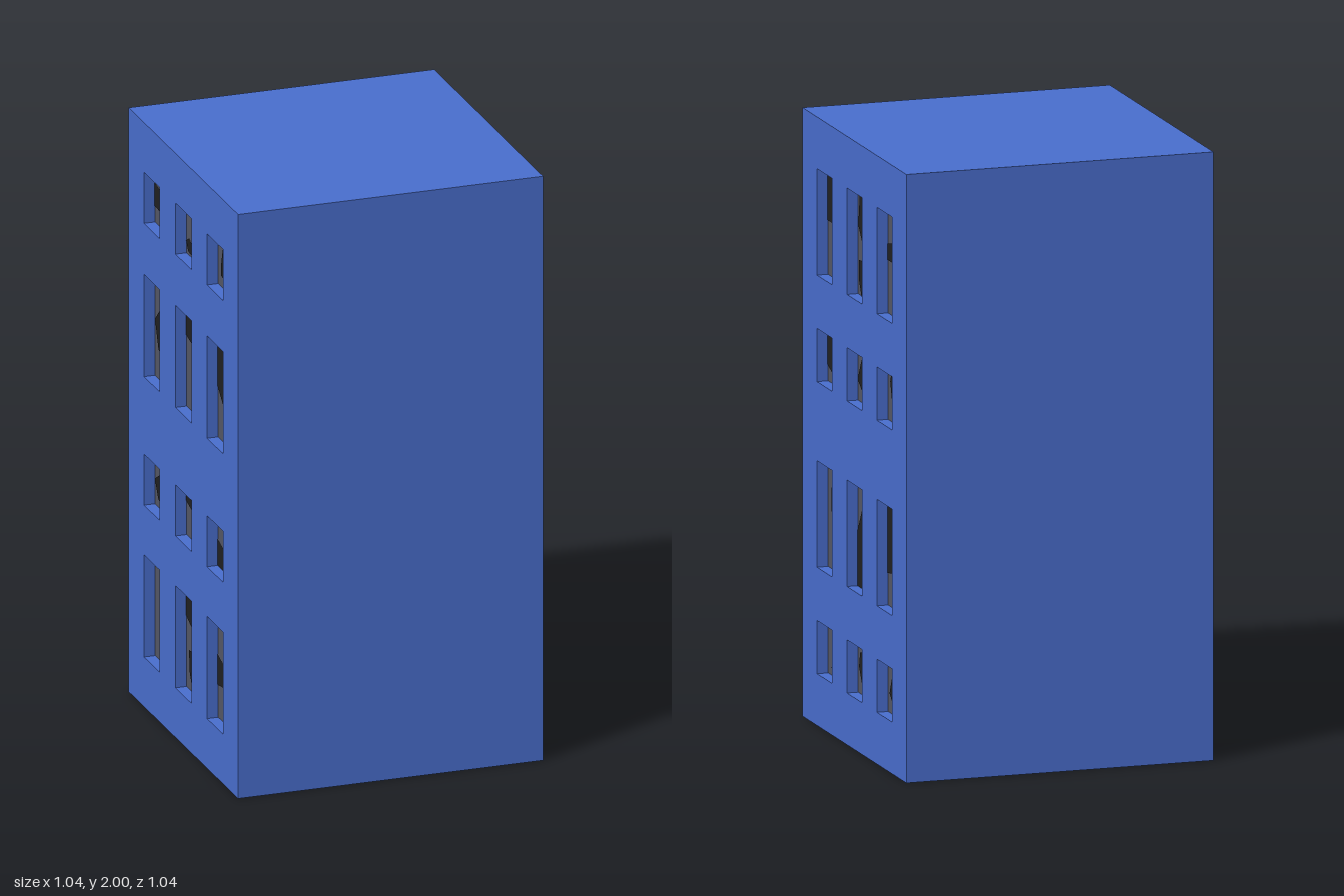
import * as THREE from 'three';

const HALF = 0.52, HEIGHT = 2, DEPTH = 0.04, WIN_W = 0.15;
const COLUMNS = [-0.3, 0, 0.3];

// Broken glass outlines in a unit window seen from outside.
// A band spans the full width; its lower and upper edges bend at the middle.
const band = (lo, hi, loMid = lo, hiMid = hi) =>
  [[0, lo], [0.5, loMid], [1, lo], [1, hi], [0.5, hiMid], [0, hi]];

// A shard is an irregular polygon around u, v with radii ru, rv
const shard = (u, v, ru, rv, sides) => Array.from({ length: sides }, (_, i) => {
  const angle = (i + 0.3) / sides * Math.PI * 2;
  const r = i % 2 ? 0.8 : 1.1;
  return [u + ru * r * Math.cos(angle), v + rv * r * Math.sin(angle)];
});

// Each row: sill height, window height, and the holes of its three windows
const RIGHT_ROWS = [
  { y: 1.48, h: 0.35, holes: [
    [band(0.51, 1)],
    [[[0.05, 0.65], [0.58, 0.36], [1, 0.49], [1, 1], [0.15, 0.95]], shard(0.38, 0.18, 0.36, 0.2, 6)],
    [band(0.5, 0.65, 0.5, 0.7)]] },
  { y: 1.13, h: 0.175, holes: [
    [band(0.31, 1, 0.14)],
    [shard(0.48, 0.5, 0.44, 0.4, 8)],
    [[[0.3, 1], [0.18, 0.75], [0.4, 0.1], [1, 0.27], [1, 1]]]] },
  { y: 0.52, h: 0.35, holes: [
    [shard(0.52, 0.58, 0.32, 0.25, 6)],
    [band(0, 0.52, 0, 0.88)],
    [[[0, 1], [0, 0.3], [1, 0.38], [1, 1]]]] },
  { y: 0.17, h: 0.175, holes: [
    [[[0.28, 0.65], [0.45, 0.37], [0.25, 0.13], [0.85, 0.5], [0.92, 0.95]]],
    [[[0.17, 0.78], [0.1, 0.5], [0.35, 0.13], [1, 0.2], [1, 0.9]]],
    [shard(0.52, 0.47, 0.36, 0.4, 8)]] },
];

const LEFT_ROWS = [
  { y: 1.655, h: 0.175, holes: [
    [band(0.32, 0.78, 0.3, 0.7)], [shard(0.2, 0.2, 0.18, 0.18, 5)], [shard(0.5, 0.45, 0.34, 0.32, 7)]] },
  { y: 1.13, h: 0.35, holes: [
    [shard(0.4, 0.48, 0.35, 0.28, 5)], [band(0.7, 1, 0.65)], [band(0.5, 1, 0.3)]] },
  { y: 0.69, h: 0.175, holes: [
    [shard(0.4, 0.4, 0.36, 0.36, 5)], [band(0.67, 1, 0.55)], [band(0, 0.52, 0, 0.4)]] },
  { y: 0.17, h: 0.35, holes: [
    [shard(0.62, 0.45, 0.3, 0.4, 5)],
    [band(0.7, 1, 0.6), shard(0.48, 0.24, 0.35, 0.2, 6)],
    [band(0.32, 0.62, 0.35, 0.55)]] },
];

const wallMat = new THREE.MeshStandardMaterial({ color: 0x4a6fd0 });
const glassMat = new THREE.MeshStandardMaterial({ color: 0x565866 });
const darkMat = new THREE.MeshStandardMaterial({ color: 0x222222 });

function addMesh(parent, name, geometry, material) {
  const mesh = new THREE.Mesh(geometry, material);
  mesh.name = name;
  parent.add(mesh);
  return mesh;
}

// Polygon from u, v pairs scaled into the rectangle x, y, w, h
const polygon = (uv, x, y, w, h) =>
  new THREE.Shape(uv.map(([u, v]) => new THREE.Vector2(x + u * w, y + v * h)));

// Wall slab with window openings, and broken panes at the back of each opening
function createFacade(name, rows) {
  const facade = new THREE.Group();
  facade.name = name;
  const wall = polygon(band(0, 1), -HALF, 0, 2 * HALF, HEIGHT);
  for (const { y, h, holes } of rows) {
    COLUMNS.forEach((cx, i) => {
      const frame = [cx - WIN_W / 2, y, WIN_W, h];
      const outline = polygon(band(0, 1), ...frame);
      wall.holes.push(outline);
      addMesh(facade, 'windowPane', new THREE.ShapeGeometry(outline), glassMat).position.z = 0.002;
      for (const uv of holes[i]) {
        const hole = new THREE.ShapeGeometry(polygon(uv, ...frame));
        addMesh(facade, 'brokenGlassHole', hole, darkMat).position.z = 0.004;
      }
    });
  }
  addMesh(facade, 'windowWall',
    new THREE.ExtrudeGeometry(wall, { depth: DEPTH, bevelEnabled: false }), wallMat);
  return facade;
}

export function createModel() {
  const model = new THREE.Group();
  model.name = 'apartmentBlock';

  // Solid core between the two window walls
  const inner = HALF - DEPTH;
  const core = new THREE.BoxGeometry(2 * inner, HEIGHT, 2 * HALF);
  addMesh(model, 'buildingCore', core, wallMat).position.y = HEIGHT / 2;

  // Window walls on the +x and -x sides
  for (const [name, rows, side] of [
    ['positiveSideFacade', RIGHT_ROWS, 1],
    ['negativeSideFacade', LEFT_ROWS, -1],
  ]) {
    const facade = createFacade(name, rows);
    facade.rotation.y = side * Math.PI / 2;
    facade.position.x = side * inner;
    model.add(facade);
  }
  return model;
}
